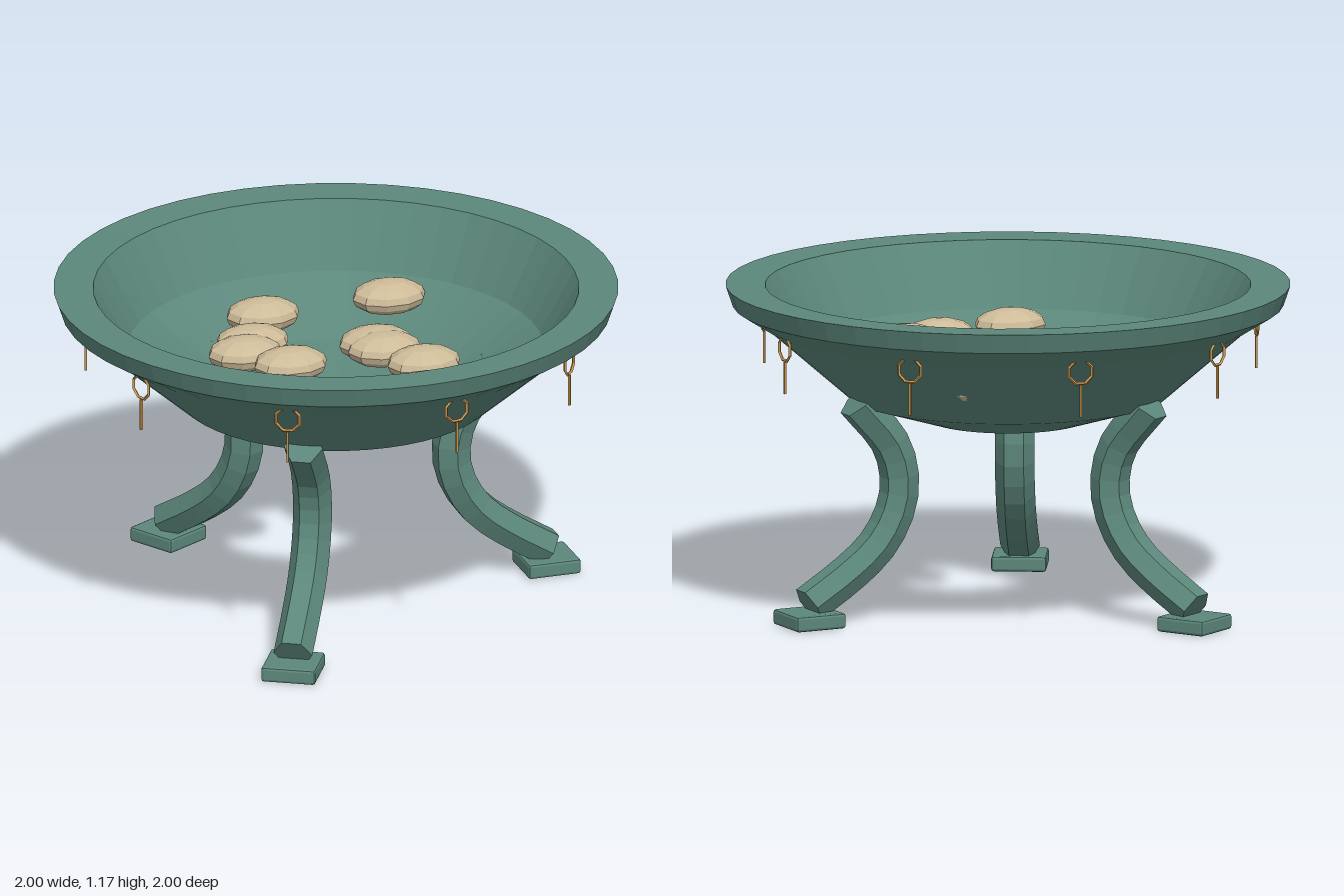
import * as THREE from 'three';
import { RoundedBoxGeometry } from 'three/addons/geometries/RoundedBoxGeometry.js';

const bronze = new THREE.MeshStandardMaterial({ color: 0x5c877b, flatShading: true });
const stoneMat = new THREE.MeshStandardMaterial({ color: 0xcdbb99, flatShading: true });
const brass = new THREE.MeshStandardMaterial({ color: 0xc8944a, flatShading: true });

function add(parent, name, geometry, material, x = 0, y = 0, z = 0) {
  const mesh = new THREE.Mesh(geometry, material);
  mesh.name = name;
  mesh.position.set(x, y, z);
  parent.add(mesh);
  return mesh;
}

// Closed wall profile: outside upwards, over the rim, inside down to the open hole
function makeBowl(parent) {
  const profile = [
    [0.28, 0.68], [0.56, 0.765], [0.853, 1.02], [0.976, 1.097], [1.0, 1.168],
    [0.86, 1.165], [0.735, 0.94], [0.48, 0.78], [0.235, 0.73], [0.28, 0.68],
  ].map(([r, y]) => new THREE.Vector2(r, y));
  add(parent, 'bowl', new THREE.LatheGeometry(profile, 48), bronze);
}

// Curved six-sided leg in the xy plane, capped at both ends, on a square foot
function makeLeg() {
  const leg = new THREE.Group();
  leg.name = 'leg';
  const path = new THREE.CatmullRomCurve3([
    [0.60, 0.79], [0.465, 0.63], [0.43, 0.5], [0.45, 0.385],
    [0.52, 0.27], [0.625, 0.182], [0.79, 0.078],
  ].map(([x, y]) => new THREE.Vector3(x, y, 0)));
  add(leg, 'legShaft', new THREE.TubeGeometry(path, 14, 0.07, 6), bronze);

  const side = new THREE.Vector3(0, 0, 1);
  for (const end of [0, 1]) {
    const out = path.getTangentAt(end).multiplyScalar(end ? 1 : -1);
    const up = new THREE.Vector3().crossVectors(out, side);
    const cap = new THREE.CircleGeometry(0.07, 6);
    cap.applyMatrix4(new THREE.Matrix4().makeBasis(side, up, out).setPosition(path.getPointAt(end)));
    add(leg, 'legCap', cap, bronze);
  }
  add(leg, 'foot', new RoundedBoxGeometry(0.195, 0.055, 0.195, 1, 0.01), bronze, 0.787, 0.0275, 0);
  return leg;
}

// Thin ring with a pin hanging below it, facing outwards along +x
function makeRing() {
  const ring = new THREE.Group();
  ring.name = 'hangingRing';
  const loop = new THREE.TorusGeometry(0.045, 0.006, 4, 8);
  loop.rotateZ(Math.PI / 8).rotateY(Math.PI / 2);
  add(ring, 'ringLoop', loop, brass, 0.885, 1.007, 0);
  add(ring, 'ringPin', new THREE.BoxGeometry(0.008, 0.115, 0.008), brass, 0.885, 0.902, 0);
  return ring;
}

// Flattened faceted stones
function makeStones(parent) {
  const spots = [
    [-0.12, -0.45], [0.36, -0.475], [-0.24, -0.215], [-0.3, -0.12], [-0.18, 0.03],
    [0.17, -0.065], [0.18, 0.0], [0.27, 0.17], [0.195, 0.415], [0.04, 0.46], [-0.275, 0.525],
  ];
  const geometry = new THREE.SphereGeometry(1, 10, 8);
  geometry.scale(0.135, 0.06, 0.105);
  for (const [x, z] of spots) add(parent, 'stone', geometry, stoneMat, x, 0.91, z);
}

export function createModel() {
  const model = new THREE.Group();
  model.name = 'tripodBowl';
  makeBowl(model);
  for (let i = 0; i < 3; i++) {
    const leg = makeLeg();
    leg.rotation.y = (i * Math.PI * 2) / 3;
    model.add(leg);
  }
  for (let i = 0; i < 9; i++) {
    const ring = makeRing();
    ring.rotation.y = (i * Math.PI * 2) / 9;
    model.add(ring);
  }
  makeStones(model);
  return model;
}
